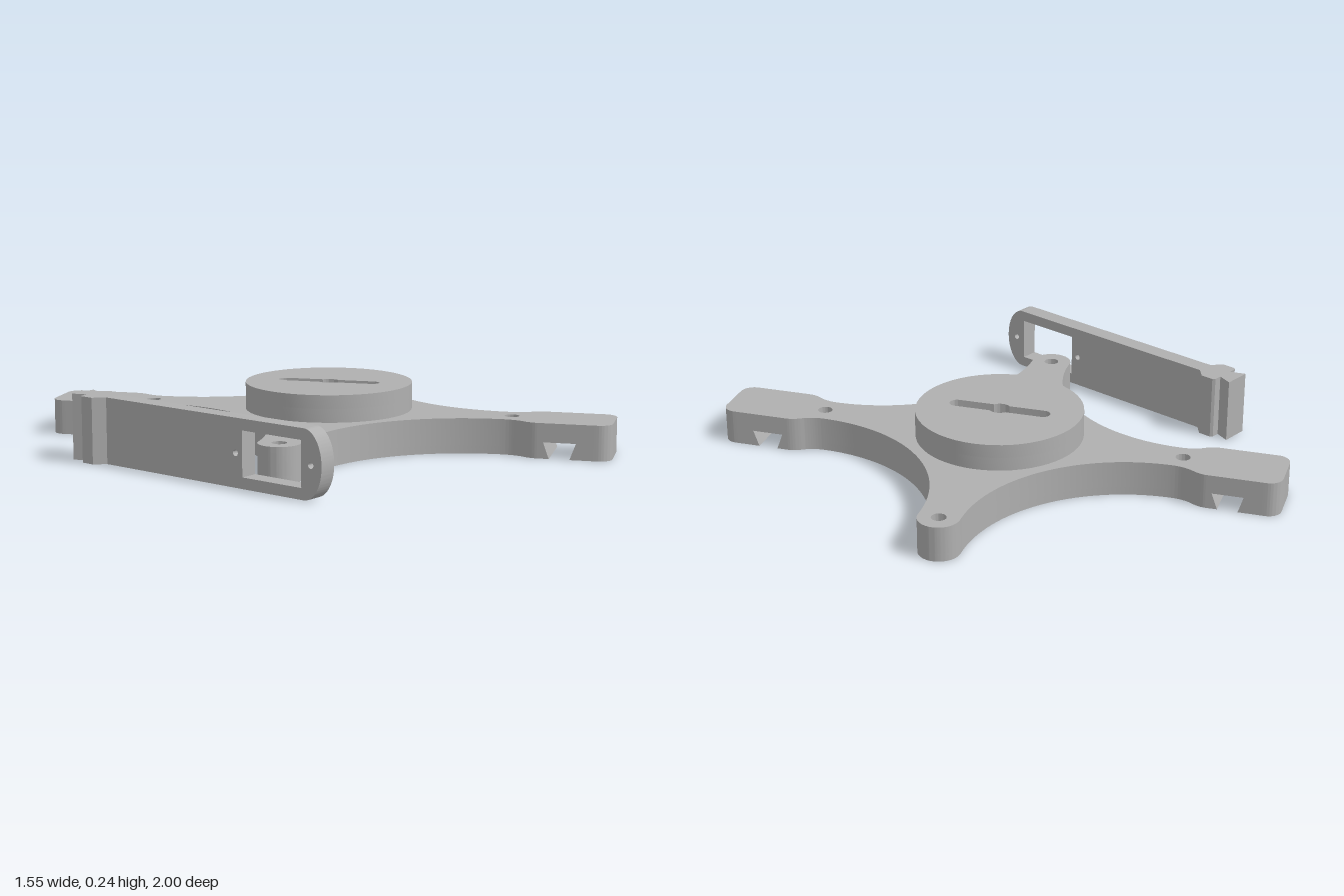
import * as THREE from 'three';
import { toCreasedNormals } from 'three/addons/utils/BufferGeometryUtils.js';

const PI = Math.PI;
const grey = new THREE.MeshStandardMaterial({ color: 0xb0b0b0 });
grey.name = 'grey plastic';

function extrude(shape, depth) {
  return new THREE.ExtrudeGeometry(shape, { depth, bevelEnabled: false, curveSegments: 28 });
}

function mesh(name, geometry) {
  const m = new THREE.Mesh(toCreasedNormals(geometry, 0.5), grey);
  m.name = name;
  return m;
}

// Plan shape (x, -z) raised from y0 to y1
function slab(name, shape, y0, y1) {
  return mesh(name, extrude(shape, y1 - y0).rotateX(-PI / 2).translate(0, y0, 0));
}

// Side shape (-z, y) given a width centred on x
function sideways(name, shape, width, x = 0) {
  return mesh(name, extrude(shape, width).rotateY(PI / 2).translate(x - width / 2, 0, 0));
}

function polygon(points) {
  return new THREE.Shape(points.map(([x, y]) => new THREE.Vector2(x, y)));
}

function hole(x, y, r) {
  return new THREE.Path().absarc(x, y, r, 0, 2 * PI, true);
}

const REACH = 0.69, TIP = 0.075, BLOCK = 0.115, BLOCK_START = 0.8, CAP_START = 1.0, CAP_END = 1.065;

// Four-armed outline: two round arms on x, two necked arms on y
function plateShape() {
  const s = new THREE.Shape();
  const c = 0.67, R = c - TIP;
  for (const k of [1, -1]) {
    const turn = k === 1 ? 0 : PI;
    s.absarc(k * REACH, 0, TIP, turn - PI / 2, turn + PI / 2, false);
    s.absarc(k * c, k * c, R, turn - PI / 2, turn - PI, true);
    s.quadraticCurveTo(k * TIP, k * 0.705, k * 0.092, k * 0.74);
    s.quadraticCurveTo(k * BLOCK, k * 0.772, k * BLOCK, k * BLOCK_START);
    s.lineTo(-k * BLOCK, k * BLOCK_START);
    s.quadraticCurveTo(-k * BLOCK, k * 0.772, -k * 0.092, k * 0.74);
    s.quadraticCurveTo(-k * TIP, k * 0.705, -k * TIP, k * c);
    s.absarc(-k * c, k * c, R, turn, turn - PI / 2, true);
  }
  s.holes.push(hole(0, 0, 0.04));
  return s;
}

// Slot with a wider round middle
function slotPath() {
  const p = new THREE.Path();
  const w = 0.027, end = 0.165, r = 0.04, t = Math.acos(w / r);
  for (const k of [0, PI]) {
    p.absarc(0, k ? -end : end, w, k, k + PI, false);
    p.absarc(0, 0, r, k + PI - t, k + PI + t, false);
  }
  return p;
}

function createCrossPlate() {
  const g = new THREE.Group();
  g.name = 'crossPlate';

  // Plate: solid floor below, blind screw holes above
  const upper = plateShape();
  for (const k of [1, -1]) upper.holes.push(hole(k * REACH, 0, 0.027), hole(0, k * REACH, 0.027));
  g.add(slab('plateFloor', plateShape(), 0, 0.03), slab('plateTop', upper, 0.03, 0.13));

  // Round hub with a slotted top
  const hubBase = new THREE.Shape().absarc(0, 0, 0.31, 0, 2 * PI, false);
  const hubTop = hubBase.clone();
  hubBase.holes.push(hole(0, 0, 0.04));
  hubTop.holes.push(slotPath());
  g.add(slab('hubBase', hubBase, 0.13, 0.18), slab('hubTop', hubTop, 0.18, 0.23));

  // Arm ends: dovetail groove underneath, then a rounded cap
  const groove = polygon([
    [BLOCK_START, 0], [0.843, 0], [0.821, 0.06], [0.939, 0.06], [0.917, 0],
    [CAP_START, 0], [CAP_START, 0.13], [BLOCK_START, 0.13],
  ]);
  const cap = new THREE.Shape();
  const r = 0.05;
  cap.moveTo(-BLOCK, CAP_START);
  cap.lineTo(BLOCK, CAP_START);
  cap.absarc(BLOCK - r, CAP_END - r, r, 0, PI / 2, false);
  cap.absarc(r - BLOCK, CAP_END - r, r, PI / 2, PI, false);
  for (const [name, turn] of [['backArmEnd', 0], ['frontArmEnd', PI]]) {
    const end = new THREE.Group();
    end.name = name;
    end.add(sideways('dovetailSocket', groove, 2 * BLOCK), slab('roundedCap', cap, 0, 0.13));
    end.rotation.y = turn;
    g.add(end);
  }

  g.position.x = 0.07;
  g.rotation.y = THREE.MathUtils.degToRad(24.5);
  return g;
}

function createLeg() {
  const g = new THREE.Group();
  g.name = 'detachedLeg';
  const X = -0.71, H = 0.24;

  // Beam with a rounded end, a window and two screw holes
  const beam = new THREE.Shape();
  beam.moveTo(-0.545, 0);
  beam.lineTo(0.37, 0);
  beam.lineTo(0.37, H);
  beam.lineTo(-0.545, H);
  beam.absellipse(-0.545, H / 2, 0.075, H / 2, PI / 2, 1.5 * PI, false);
  beam.holes.push(
    polygon([[-0.535, 0.04], [-0.535, 0.2], [-0.28, 0.2], [-0.28, 0.04]]),
    hole(-0.575, H / 2, 0.011), hole(-0.25, H / 2, 0.011),
  );
  g.add(sideways('beam', beam, 0.066, X));

  // Collar and dovetail head
  const half = [[0.033, 0.355], [0.07, 0.39], [0.07, 0.44], [0.062, 0.449], [0.031, 0.449], [0.053, 0.505]];
  const head = polygon([...half, ...half.map(([x, y]) => [-x, y]).reverse()]);
  const tail = slab('dovetailHead', head, 0, H);
  tail.position.x = X;
  g.add(tail);
  return g;
}

export function createModel() {
  const model = new THREE.Group();
  model.name = 'crossPlateWithLeg';
  model.add(createCrossPlate(), createLeg());
  return model;
}
